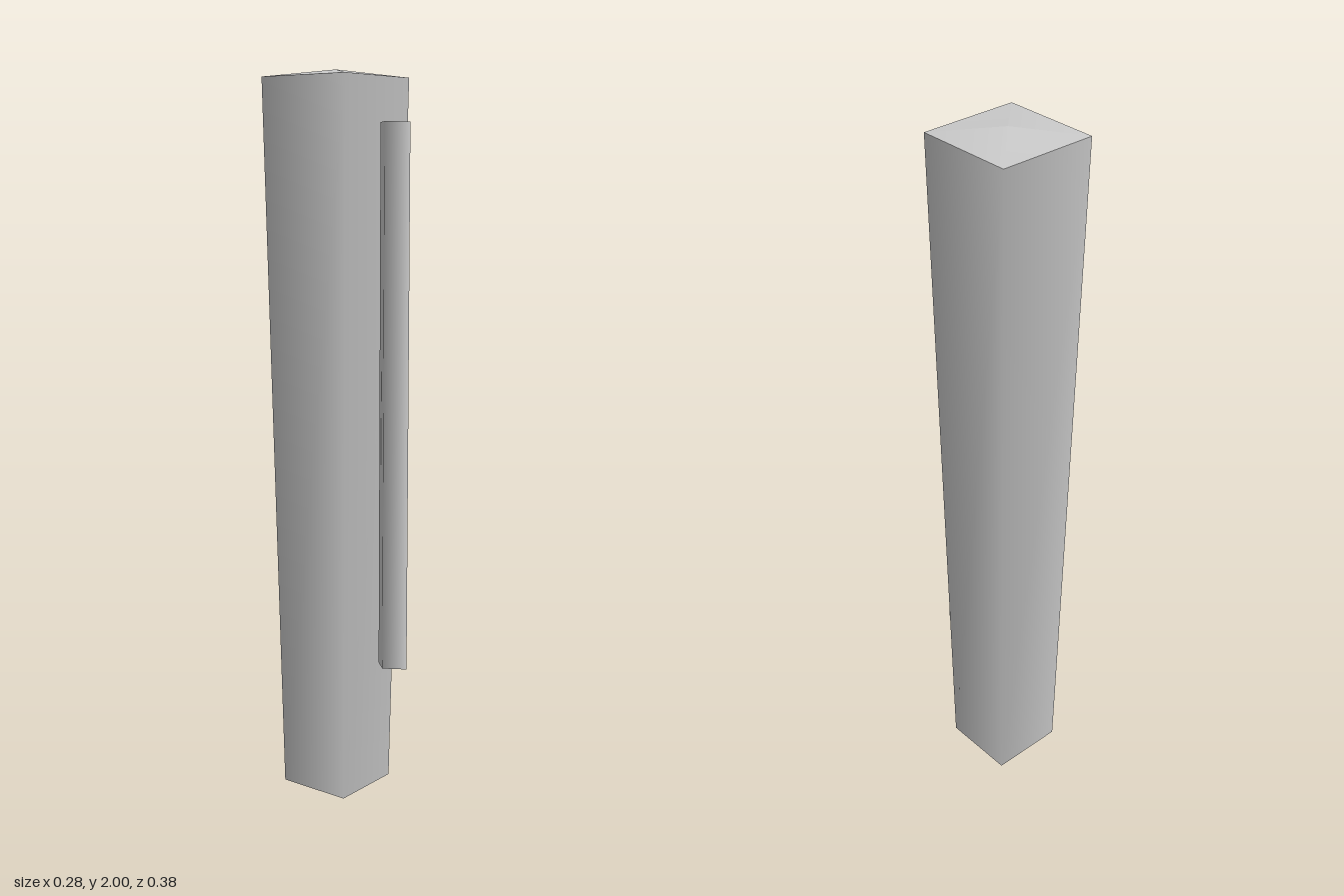
import * as THREE from 'three';

export function createModel() {
  const model = new THREE.Group();
  const grey = new THREE.MeshStandardMaterial({ color: 0xcccccc, side: THREE.DoubleSide });

  const add = (name, geometry, y, z) => {
    const mesh = new THREE.Mesh(geometry, grey);
    mesh.name = name;
    mesh.position.set(0, y, z);
    model.add(mesh);
    return mesh;
  };

  // Corner radius of a square with the given half width
  const corner = (half) => half * Math.SQRT2;
  const bodyZ = -0.054, bodyHeight = 1.98, capHeight = 0.02;

  // Tapered square shaft, hollow and open underneath, with softened corners
  const shaft = new THREE.CylinderGeometry(corner(0.14), corner(0.107), bodyHeight, 4, 1, true);
  shaft.rotateY(Math.PI / 4);
  add('shaft', shaft, bodyHeight / 2, bodyZ);

  // Shallow pyramid closing the wide end
  const cap = new THREE.ConeGeometry(corner(0.14), capHeight, 4, 1, true);
  cap.rotateY(Math.PI / 4);
  add('cap', cap, bodyHeight + capHeight / 2, bodyZ);

  // Slim diamond-section clip along the front, its lower end cut at a slight slant
  const clipRadius = 0.048, clipLength = 1.48;
  const clip = new THREE.CylinderGeometry(clipRadius, clipRadius, clipLength, 4);
  const p = clip.attributes.position;
  for (let i = 0; i < p.count; i++) {
    if (p.getY(i) < 0) p.setY(i, p.getY(i) - p.getX(i) * 0.12);
  }
  add('clip', clip, 0.38 + clipLength / 2, 0.143);

  return model;
}
